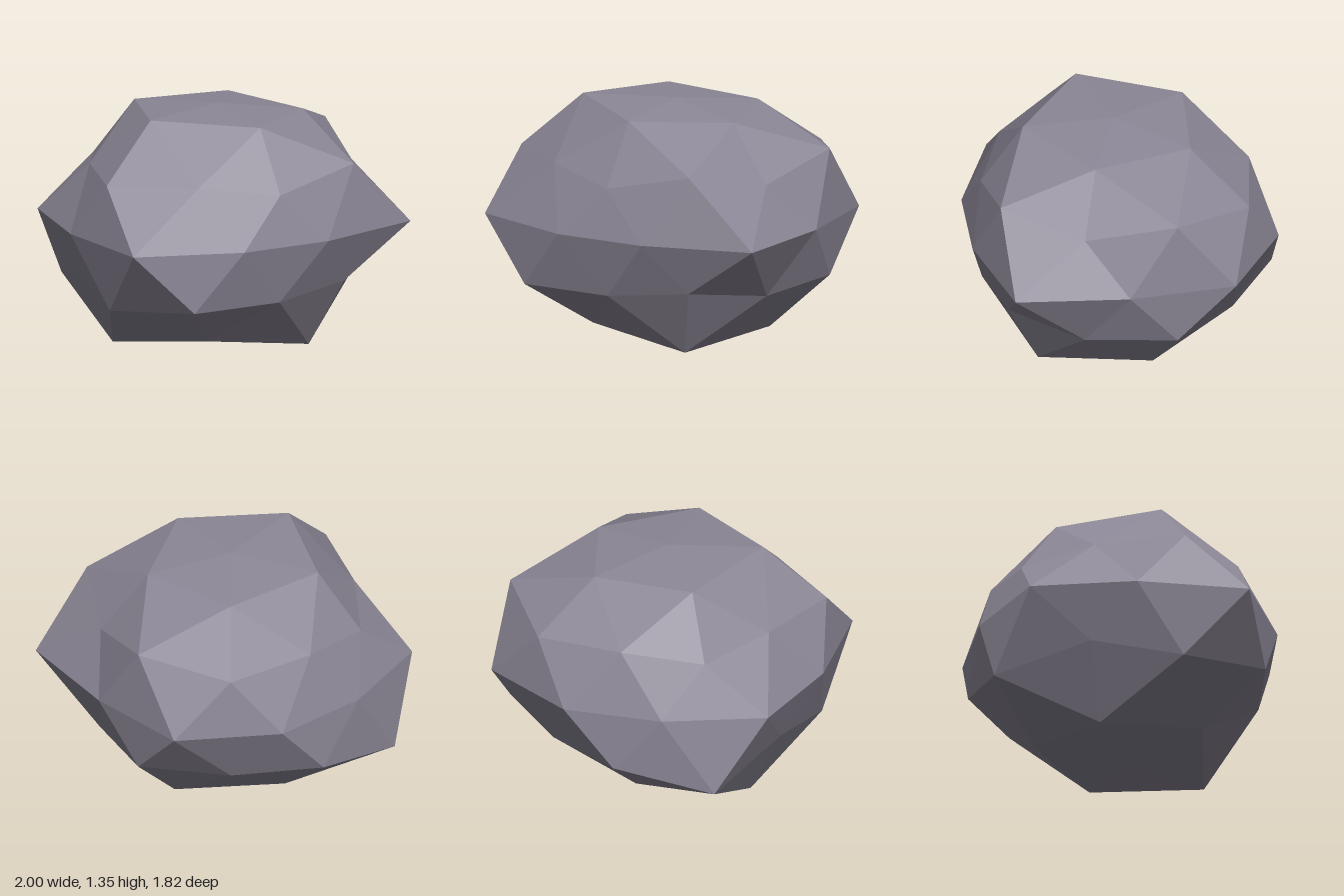
import * as THREE from 'three';

// Rings of the boulder, top to bottom: unit height, unit radius, start angle, then
// how far each corner is pushed out along its direction.
const S = Math.sqrt(0.2);
const RINGS = {
  top: [1, 0, 0, [0.872]],
  crown: [0.8507, 0.5257, 0, [0.935, 0.977, 1.018, 0.968, 0.937]],
  upper: [S, 2 * S, 0, [0.858, 0.84, 0.993, 0.85, 0.976]],
  upperMid: [0.5257, 0.8507, 36, [1.0, 0.87, 0.846, 0.889, 1.034]],
  equator: [0, 1, 18, [1.094, 0.866, 0.875, 1.074, 0.927, 1.009, 0.882, 0.94, 1.024, 0.914]],
  lowerMid: [-0.5257, 0.8507, 0, [0.908, 0.874, 1.015, 1.129, 0.9]],
  lower: [-S, 2 * S, 36, [0.885, 1.03, 0.9, 0.987, 0.985]],
  foot: [-0.8507, 0.5257, 36, [1.087, 0.96, 1.122, 0.975, 1.02]],
  bottom: [-1, 0, 0, [0.943]],
};
const CENTRE = new THREE.Vector3(-0.04, 0.715, 0.03);
const SQUASH = 0.74;

function corner(ring, i) {
  const [h, rad, start, push] = RINGS[ring];
  const n = push.length;
  const r = push[i % n];
  const a = THREE.MathUtils.degToRad(start + (i * 360) / n);
  return new THREE.Vector3(Math.cos(a) * rad * r, h * r * SQUASH, Math.sin(a) * rad * r).add(CENTRE);
}

function boulderGeometry() {
  const points = [];
  const face = (...corners) => corners.forEach(([ring, i]) => points.push(corner(ring, i)));
  for (let k = 0; k < 5; k++) {
    const n = k + 1;
    const T = ['top', 0], B = ['bottom', 0];
    const c0 = ['crown', k], c1 = ['crown', n];
    const u0 = ['upper', k], u1 = ['upper', n], um = ['upperMid', k];
    const e0 = ['equator', 2 * k], e1 = ['equator', 2 * k + 1], e2 = ['equator', 2 * k + 2];
    const l0 = ['lower', k], l1 = ['lower', n], lm = ['lowerMid', n];
    const f0 = ['foot', k], f1 = ['foot', n];
    // Cap
    face(T, c1, c0);
    face(c0, c1, um);
    face(c0, um, u0);
    face(c1, u1, um);
    // Belt, panels pointing down
    face(u0, um, e0);
    face(um, u1, e1);
    face(um, e1, e0);
    face(e0, e1, l0);
    // Belt, panels pointing up
    face(u1, e2, e1);
    face(e1, e2, lm);
    face(e1, lm, l0);
    face(e2, l1, lm);
    // Underside
    face(l0, lm, f0);
    face(lm, l1, f1);
    face(lm, f1, f0);
    face(f0, f1, B);
  }
  const geometry = new THREE.BufferGeometry().setFromPoints(points);
  geometry.computeVertexNormals();
  return geometry;
}

export function createModel() {
  const group = new THREE.Group();
  group.name = 'rock';
  const stone = new THREE.MeshStandardMaterial({ color: 0x8c8796, flatShading: true });
  stone.name = 'greyStone';
  const boulder = new THREE.Mesh(boulderGeometry(), stone);
  boulder.name = 'boulder';
  group.add(boulder);
  return group;
}
